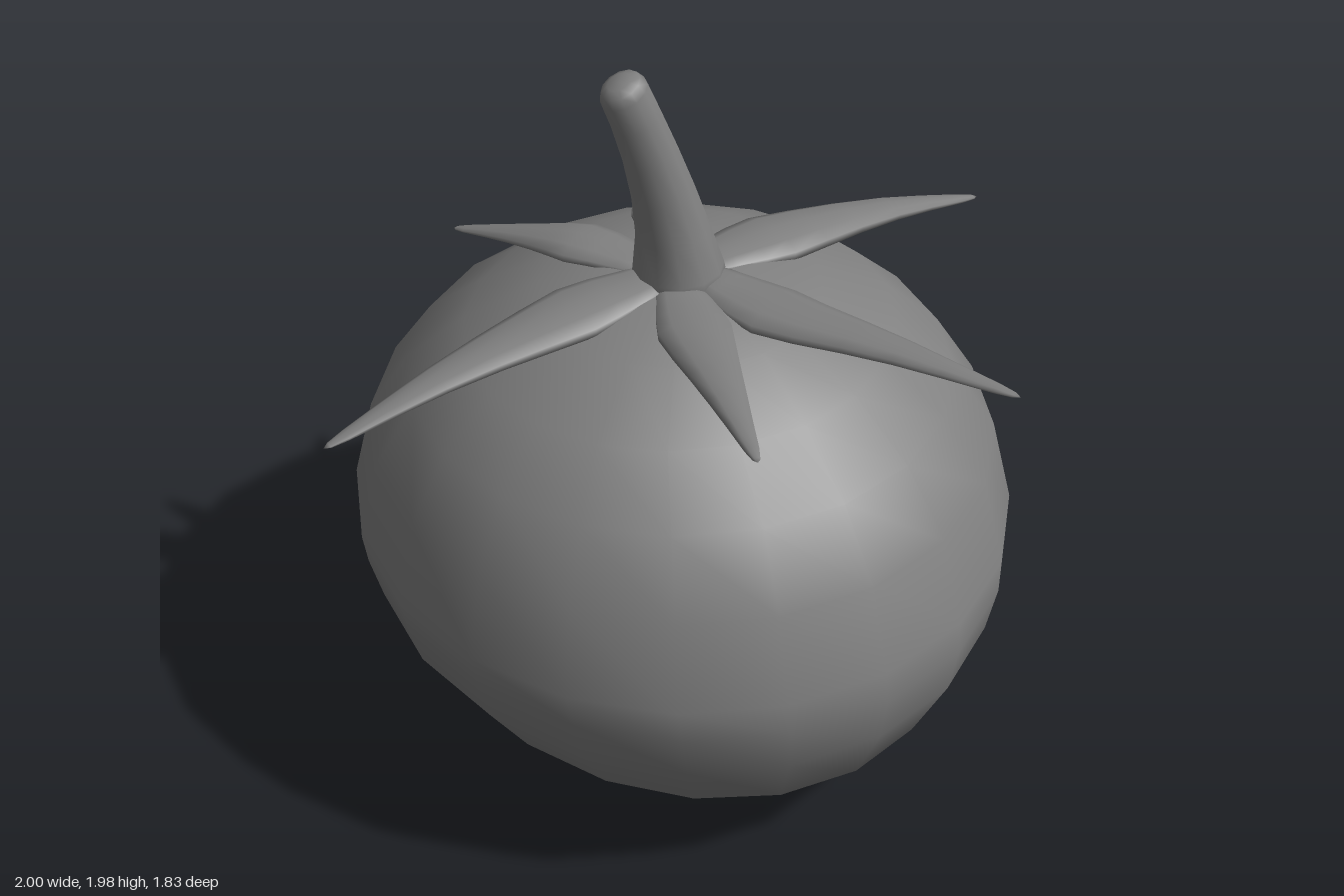
import * as THREE from 'three';
import { mergeVertices } from 'three/addons/utils/BufferGeometryUtils.js';

const material = new THREE.MeshStandardMaterial({ color: 0x808080 });

// Turns a profile of [radius, height] points, then moves every vertex by a rule
function turned(name, profile, sides, rule) {
  const geo = new THREE.LatheGeometry(profile.map(([r, h]) => new THREE.Vector2(r, h)), sides);
  geo.deleteAttribute('uv');
  geo.deleteAttribute('normal');
  const pos = geo.attributes.position;
  const v = new THREE.Vector3();
  for (let i = 0; i < pos.count; i++) {
    rule(v.fromBufferAttribute(pos, i), i % profile.length);
    pos.setXYZ(i, v.x, v.y, v.z);
  }
  const welded = mergeVertices(geo, 1e-5);
  welded.computeVertexNormals();
  const mesh = new THREE.Mesh(welded, material);
  mesh.name = name;
  return mesh;
}

// Fruit: [half width, height, half depth], deeper than wide and fullest low down
function createFruit() {
  const rows = [
    [0, 0, 0], [0.24, 0.025, 0.36], [0.47, 0.12, 0.64], [0.68, 0.28, 0.81], [0.805, 0.47, 0.895],
    [0.84, 0.6, 0.914], [0.855, 0.69, 0.905], [0.805, 0.92, 0.835], [0.70, 1.09, 0.71],
    [0.56, 1.22, 0.54], [0.36, 1.325, 0.36], [0.18, 1.365, 0.18], [0, 1.375, 0],
  ];
  return turned('fruit', rows, 20, (v, i) => {
    const [w, , d] = rows[i];
    if (!w) return;
    const s = v.z / w;
    v.z = s * d + 0.015 * w * (1 - s * s);
  });
}

// Stem: tapers upward and leans to one side, with a rounded cut end
function createStem() {
  const profile = [
    [0, 1.3], [0.13, 1.3], [0.115, 1.39], [0.093, 1.5], [0.078, 1.62], [0.067, 1.74],
    [0.06, 1.85], [0.057, 1.93], [0.047, 1.953], [0.028, 1.963], [0, 1.965],
  ];
  return turned('stem', profile, 12, (v) => {
    const t = Math.max(0, (v.y - 1.35) / 0.6);
    v.y += v.x * 0.45 * Math.min(t, 1);
    v.x -= 0.165 * Math.pow(t, 1.55);
  });
}

// Sepal: a flattened, pointed blade swept along four points
function createSepal(name, points, halfWidth) {
  const curve = new THREE.CatmullRomCurve3(points.map((p) => new THREE.Vector3(...p)));
  const profile = [
    [0, 0], [0.6, 0.01], [0.74, 0.12], [0.9, 0.23], [1, 0.34], [0.86, 0.45], [0.68, 0.57],
    [0.5, 0.7], [0.34, 0.82], [0.19, 0.94], [0.1, 0.985], [0, 1],
  ].map(([r, u]) => [r * halfWidth, u]);
  const up = new THREE.Vector3(0, 1, 0);
  return turned(name, profile, 10, (v) => {
    const u = v.y;
    const along = curve.getTangent(u);
    const side = new THREE.Vector3().crossVectors(along, up).normalize();
    const above = new THREE.Vector3().crossVectors(side, along);
    const { x, z } = v;
    v.copy(curve.getPoint(u))
      .addScaledVector(side, x)
      .addScaledVector(above, z * (0.28 + 0.2 * u));
  });
}

export function createModel() {
  const model = new THREE.Group();
  model.name = 'fruitWithStem';
  model.add(createFruit(), createStem());

  const calyx = new THREE.Group();
  calyx.name = 'calyx';
  // Long drooping sepals on both sides
  for (const [name, s] of [['leftSepal', 1], ['rightSepal', -1]]) {
    calyx.add(createSepal(name, [
      [0.05 * s, 1.37, 0], [0.29 * s, 1.345, -0.015], [0.65 * s, 1.298, -0.025], [s, 1.217, -0.03],
    ], 0.105));
  }
  // Front and back sepals, each of its own length and lift
  calyx.add(
    createSepal('frontLeftSepal', [
      [0.04, 1.365, 0.05], [0.1, 1.355, 0.26], [0.225, 1.375, 0.57], [0.35, 1.385, 0.905],
    ], 0.1),
    createSepal('frontRightSepal', [
      [-0.04, 1.365, 0.05], [-0.11, 1.36, 0.23], [-0.215, 1.39, 0.51], [-0.32, 1.412, 0.79],
    ], 0.096),
    createSepal('backLeftSepal', [
      [0.04, 1.365, -0.05], [0.12, 1.365, -0.25], [0.205, 1.378, -0.4], [0.3, 1.387, -0.56],
    ], 0.088),
    createSepal('backRightSepal', [
      [-0.04, 1.365, -0.05], [-0.13, 1.36, -0.25], [-0.21, 1.33, -0.41], [-0.305, 1.277, -0.61],
    ], 0.088),
  );
  model.add(calyx);
  return model;
}
